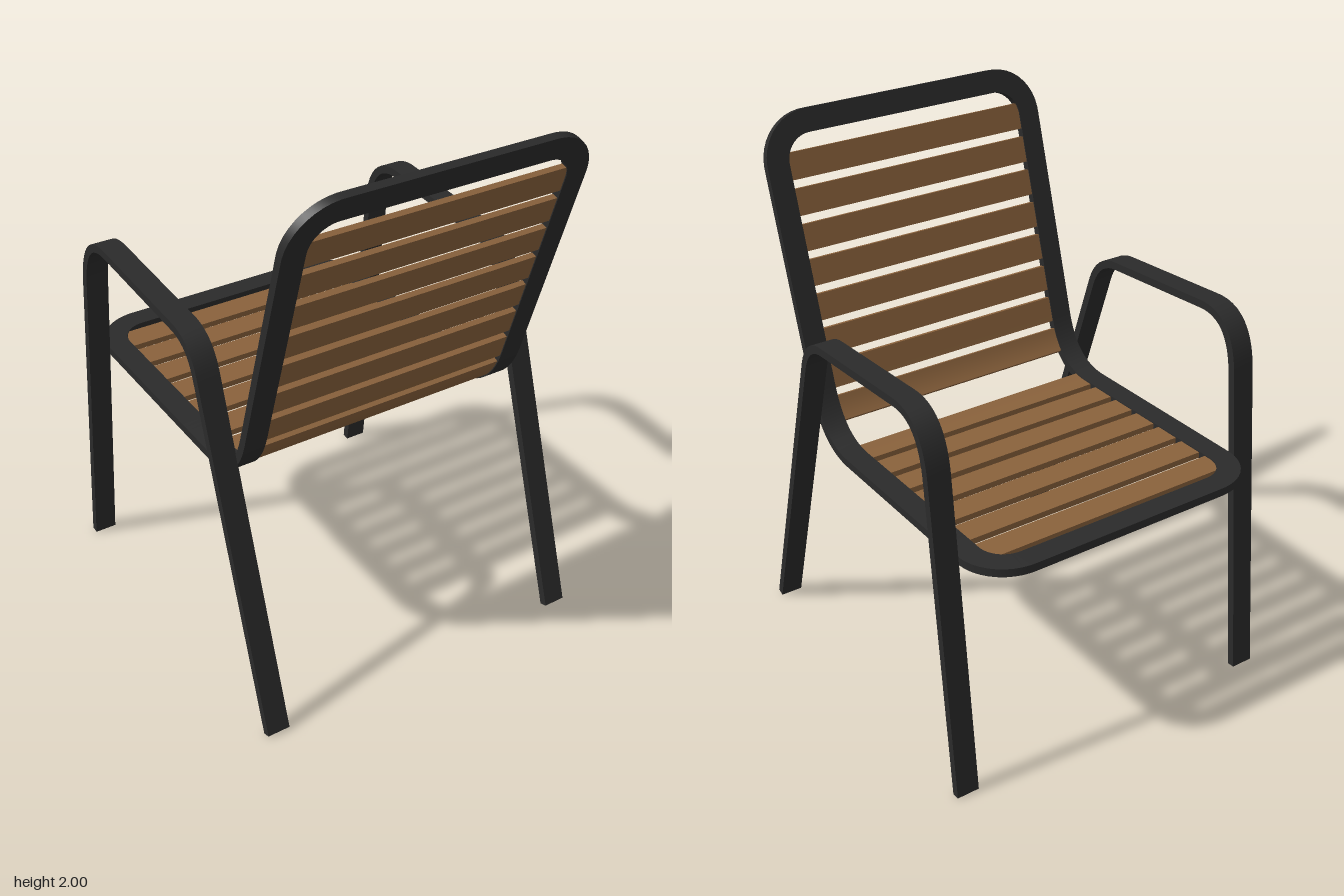
import * as THREE from 'three';
import { toCreasedNormals } from 'three/addons/utils/BufferGeometryUtils.js';

const BAR_W = 0.085, BAR_T = 0.03;
const metal = new THREE.MeshStandardMaterial({ color: 0x2b2b2b });
const wood = new THREE.MeshStandardMaterial({ color: 0x8a623c });

// Side-profile path from [z, y] points: start, then (bend start, corner, bend end) per bend, then end
function profile(points) {
  const p = points.map(([z, y]) => new THREE.Vector3(0, y, z));
  const path = new THREE.CurvePath();
  let last = p[0], i = 1;
  for (; i + 2 < p.length; i += 3) {
    path.add(new THREE.LineCurve3(last, p[i]));
    path.add(new THREE.QuadraticBezierCurve3(p[i], p[i + 1], p[i + 2]));
    last = p[i + 2];
  }
  path.add(new THREE.LineCurve3(last, p[i]));
  return path;
}

// Maps flat coordinates (x across, h off the surface, s along the profile) onto the bent profile
function bender(path) {
  const length = path.getLength();
  const map = (x, h, s) => {
    const u = THREE.MathUtils.clamp(s / length, 0, 1);
    const p = path.getPoint(u), t = path.getTangent(u);
    return new THREE.Vector3(x, p.y + h * t.z, p.z - h * t.y);
  };
  return { length, map };
}

// Flat bar swept along stations { x, s, nx, ns } where (nx, ns) points across the bar
function barGeometry(stations, map, closed) {
  const pos = [], idx = [];
  const corners = [[1, 1], [-1, 1], [-1, -1], [1, -1]];
  for (const { x, s, nx, ns } of stations) {
    for (const [o, h] of corners) {
      const d = o * BAR_W / 2;
      pos.push(...map(x + nx * d, h * BAR_T / 2, s + ns * d).toArray());
    }
  }
  const n = stations.length;
  for (let i = 0; i < (closed ? n : n - 1); i++) {
    const a = i * 4, b = ((i + 1) % n) * 4;
    for (let k = 0; k < 4; k++) {
      const m = (k + 1) % 4;
      idx.push(a + k, a + m, b + m, a + k, b + m, b + k);
    }
  }
  if (!closed) {
    const e = (n - 1) * 4;
    idx.push(0, 3, 2, 0, 2, 1, e, e + 1, e + 2, e, e + 2, e + 3);
  }
  const g = new THREE.BufferGeometry();
  g.setAttribute('position', new THREE.Float32BufferAttribute(pos, 3));
  g.setIndex(idx);
  return toCreasedNormals(g, 0.6);
}

// Rounded rectangular loop in flat (x, s) coordinates
function loopStations(halfWidth, s0, s1, r, count) {
  const w = halfWidth, shape = new THREE.Shape();
  shape.moveTo(0, s0);
  shape.lineTo(w - r, s0);
  shape.absarc(w - r, s0 + r, r, -Math.PI / 2, 0, false);
  shape.lineTo(w, s1 - r);
  shape.absarc(w - r, s1 - r, r, 0, Math.PI / 2, false);
  shape.lineTo(-w + r, s1);
  shape.absarc(-w + r, s1 - r, r, Math.PI / 2, Math.PI, false);
  shape.lineTo(-w, s0 + r);
  shape.absarc(-w + r, s0 + r, r, Math.PI, Math.PI * 1.5, false);
  shape.lineTo(0, s0);
  return Array.from({ length: count }, (_, i) => {
    const p = shape.getPoint(i / count), t = shape.getTangent(i / count);
    return { x: p.x, s: p.y, nx: t.y, ns: -t.x };
  });
}

function addMesh(parent, geometry, material, name) {
  const mesh = new THREE.Mesh(geometry, material);
  mesh.name = name;
  parent.add(mesh);
  return mesh;
}

export function createModel() {
  const chair = new THREE.Group();
  chair.name = 'slattedArmchair';

  // Seat and backrest frame: one loop bent from the back's top edge to the seat's front edge
  const shell = new THREE.Group();
  shell.name = 'seatAndBackrest';
  shell.position.x = -0.007;
  chair.add(shell);
  const { length, map } = bender(profile([
    [0.73, 1.995], [0.434, 1.05], [0.372, 0.853], [0.19, 0.86], [-0.74, 0.9],
  ]));
  const inset = BAR_W / 2;
  addMesh(shell, barGeometry(loopStations(0.572 - inset, inset, length - inset, 0.14, 280), map, true),
    metal, 'seatFrame');

  // Wooden slats, following the bend where they meet it
  const slat = (s, depth, name) => {
    const g = new THREE.BoxGeometry(0.99, 0.022, depth, 1, 1, 6);
    const p = g.attributes.position;
    for (let i = 0; i < p.count; i++) {
      const v = map(p.getX(i), p.getY(i), s + p.getZ(i));
      p.setXYZ(i, v.x, v.y, v.z);
    }
    addMesh(shell, toCreasedNormals(g, 0.6), wood, name);
  };
  for (let i = 0; i < 8; i++) slat(0.19 + i * 0.128, 0.097, 'backSlat' + (i + 1));
  for (let i = 0; i < 7; i++) slat(length - 0.16 - i * 0.131, 0.1, 'seatSlat' + (i + 1));

  // Side frames: rear leg, armrest and front leg in a single bent bar
  const side = bender(profile([
    [0.683, 0.005], [0.284, 1.24], [0.25, 1.348], [0.15, 1.364],
    [-0.35, 1.411], [-0.515, 1.428], [-0.54, 1.22], [-0.678, 0.002],
  ]));
  const steps = 140;
  const stations = Array.from({ length: steps + 1 }, (_, i) => (
    { x: 0, s: side.length * i / steps, nx: 1, ns: 0 }));
  const sideGeometry = barGeometry(stations, side.map, false);
  for (const sign of [1, -1]) {
    const name = sign > 0 ? 'leftArmAndLegs' : 'rightArmAndLegs';
    addMesh(chair, sideGeometry, metal, name).position.x = sign * 0.62;
  }
  return chair;
}
